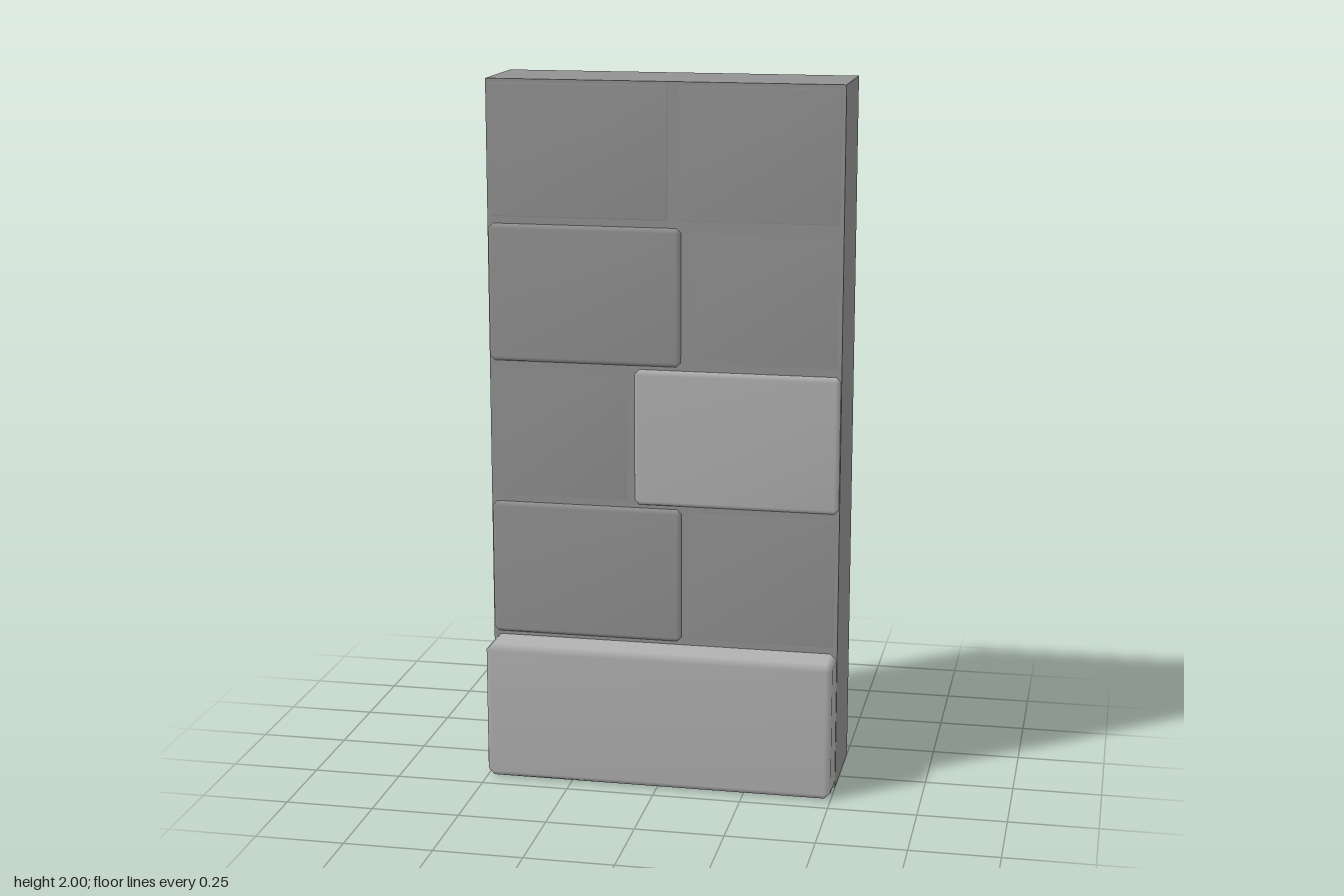
import * as THREE from 'three';
import { ConvexGeometry } from 'three/addons/geometries/ConvexGeometry.js';
import { mergeVertices } from 'three/addons/utils/BufferGeometryUtils.js';

const darkStone = new THREE.MeshStandardMaterial({ color: 0x929292 });
const lightStone = new THREE.MeshStandardMaterial({ color: 0xb1b1b1 });

// Box between two corners with every edge cut by a chamfer c and softened normals
function chamferBox(min, max, c) {
  const half = min.map((v, i) => (max[i] - v) / 2);
  const points = [];
  for (const sx of [-1, 1]) for (const sy of [-1, 1]) for (const sz of [-1, 1]) {
    for (let face = 0; face < 3; face++) {
      const p = [sx, sy, sz].map((s, i) => s * (half[i] - (i === face ? 0 : c)));
      points.push(new THREE.Vector3(...p));
    }
  }
  let geometry = new ConvexGeometry(points);
  geometry.deleteAttribute('normal');
  geometry = mergeVertices(geometry);
  geometry.computeVertexNormals();
  return geometry.translate(...min.map((v, i) => (v + max[i]) / 2));
}

export function createModel() {
  const wall = new THREE.Group();
  wall.name = 'stoneWall';

  const add = (name, geometry, material) => {
    const mesh = new THREE.Mesh(geometry, material);
    mesh.name = name;
    wall.add(mesh);
  };

  // Plain core that fills the joints
  add('mortarCore', new THREE.BoxGeometry(1, 2, 0.27).translate(0, 1, -0.045), darkStone);

  // Deep footing stone
  add('baseStone', chamferBox([-0.499, 0.001, -0.2], [0.499, 0.4, 0.2], 0.018), lightStone);

  // Courses from the bottom up: joint position, front depth of the right and left stones
  const courses = [
    { joint: 0.058, right: 0.104, left: 0.093 },
    { joint: -0.088, right: 0.092, left: 0.107, leftMaterial: lightStone },
    { joint: 0.055, right: 0.105, left: 0.091 },
    { joint: 0.026, right: 0.094, left: 0.093 },
  ];
  const gap = 0.006;
  courses.forEach(({ joint, right, left, leftMaterial = darkStone }, i) => {
    const y0 = 0.41 + i * 0.4;
    const y1 = y0 + 0.389;
    const sides = [
      ['right', -0.498, joint - gap, right, darkStone],
      ['left', joint + gap, 0.498, left, leftMaterial],
    ];
    // Each stone shows a facing block on the front and a paler one on the back
    for (const [side, x0, x1, front, material] of sides) {
      add(`${side}FrontStone${i + 1}`, chamferBox([x0, y0, 0], [x1, y1, front], 0.013), material);
      add(`${side}BackStone${i + 1}`, chamferBox([x0, y0, -0.196], [x1, y1, 0], 0.013), lightStone);
    }
  });

  return wall;
}
